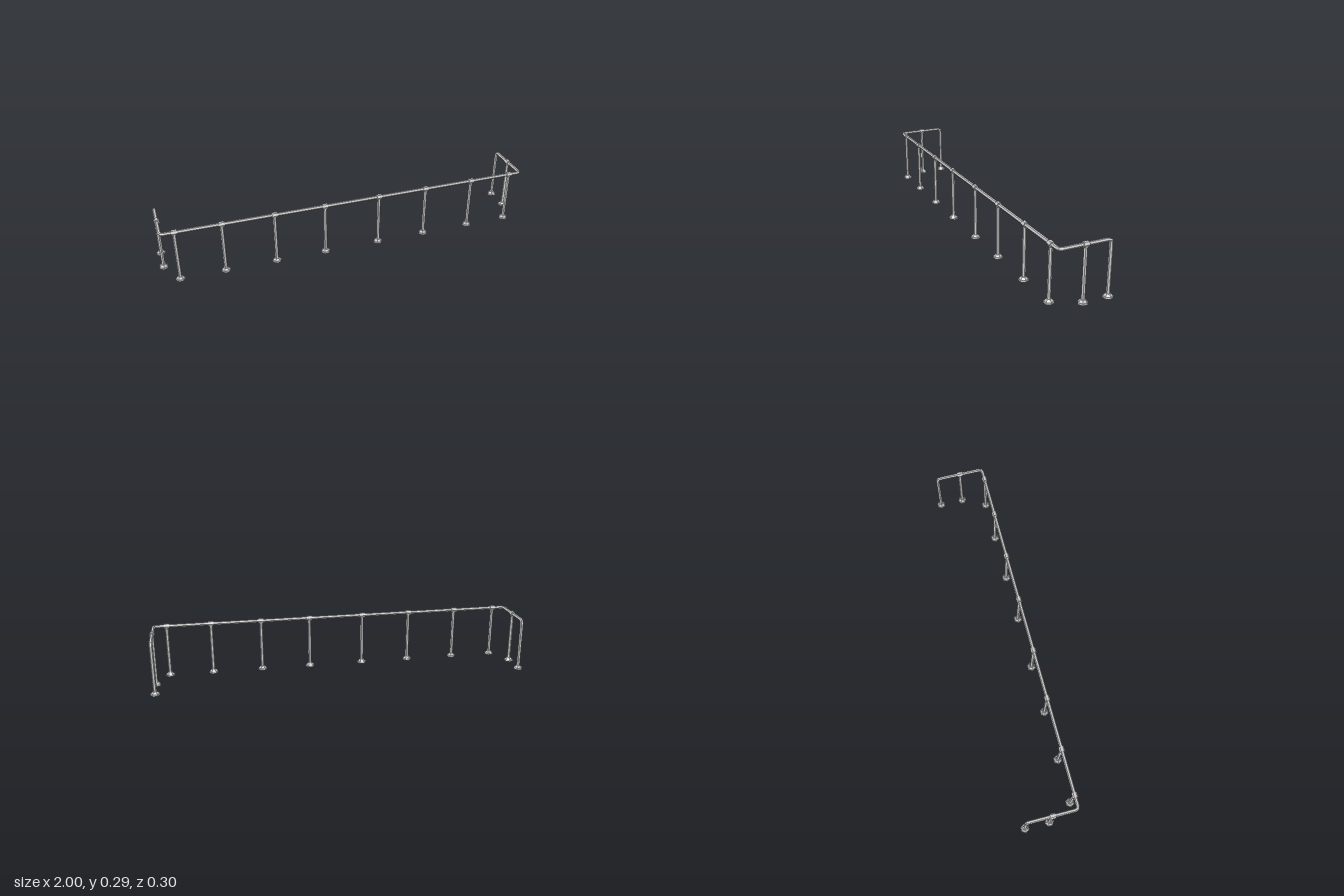
import * as THREE from 'three';

const RAIL_Y = 0.279, END_X = 0.975, Z = 0.129, R = 0.0095, BEND = 0.018;
const material = new THREE.MeshStandardMaterial({ color: 0xcccccc, flatShading: true, side: THREE.DoubleSide });

function part(name, geometry, y = 0) {
  const mesh = new THREE.Mesh(geometry, material);
  mesh.name = name;
  mesh.position.y = y;
  return mesh;
}

// Replace each inner corner of a path by a short two-segment bend
function roundCorners(corners) {
  const path = [corners[0]];
  for (let i = 1; i < corners.length - 1; i++) {
    const c = corners[i];
    const toward = p => p.clone().sub(c).setLength(BEND).add(c);
    const curve = new THREE.QuadraticBezierCurve3(toward(corners[i - 1]), c, toward(corners[i + 1]));
    path.push(...curve.getPoints(2));
  }
  path.push(corners[corners.length - 1]);
  return path;
}

// Hexagonal pipe swept along the path, with one corner always to the side
function pipeGeometry(path, radius) {
  const up = new THREE.Vector3(0, 1, 0), positions = [], index = [];
  const dir = (a, b) => b.clone().sub(a).normalize();
  path.forEach((p, i) => {
    const t = new THREE.Vector3();
    if (i > 0) t.add(dir(path[i - 1], p));
    if (i < path.length - 1) t.add(dir(p, path[i + 1]));
    t.normalize();
    const side = up.clone().cross(t);
    if (side.length() < 0.01) side.set(-Math.sign(p.x), 0, 0);
    side.normalize();
    const normal = t.clone().cross(side);
    for (let j = 0; j < 6; j++) {
      const a = j * Math.PI / 3;
      const v = p.clone().addScaledVector(side, radius * Math.cos(a)).addScaledVector(normal, radius * Math.sin(a));
      positions.push(v.x, v.y, v.z);
      if (i > 0) {
        const k = (j + 1) % 6, m = (i - 1) * 6, n = i * 6;
        index.push(m + j, m + k, n + j, m + k, n + k, n + j);
      }
    }
  });
  const g = new THREE.BufferGeometry();
  g.setAttribute('position', new THREE.Float32BufferAttribute(positions, 3));
  g.setIndex(index);
  const flat = g.toNonIndexed();
  flat.computeVertexNormals();
  return flat;
}

const hex = (top, bottom, height) => new THREE.CylinderGeometry(top, bottom, height, 6).rotateY(Math.PI / 2);

// Floor flange: a hexagonal plate with a tapered collar
function makeFlange() {
  const flange = new THREE.Group();
  flange.name = 'floorFlange';
  flange.add(part('flangePlate', hex(0.025, 0.025, 0.009), 0.0045));
  flange.add(part('flangeCollar', hex(0.013, 0.022, 0.011), 0.0145));
  return flange;
}

// Support post with its flange and the sleeve that grips the rail
function makePost() {
  const post = new THREE.Group();
  post.name = 'supportPost';
  const height = RAIL_Y - 0.015;
  post.add(makeFlange(), part('postPipe', hex(R, R, height), 0.015 + height / 2));
  post.add(part('railSleeve', new THREE.CylinderGeometry(0.0144, 0.0144, 0.028, 6).rotateZ(Math.PI / 2), RAIL_Y));
  return post;
}

export function createModel() {
  const model = new THREE.Group();
  model.name = 'guardRail';

  // One continuous pipe: up at the back, forward, across the front and back down
  const corners = [
    [-END_X, 0.01, -Z], [-END_X, RAIL_Y, -Z], [-END_X, RAIL_Y, Z],
    [END_X, RAIL_Y, Z], [END_X, RAIL_Y, -Z], [END_X, 0.01, -Z],
  ].map(c => new THREE.Vector3(...c));
  model.add(part('railPipe', pipeGeometry(roundCorners(corners), R)));

  for (const side of [-1, 1]) {
    // Front posts
    for (const x of [0.147, 0.411, 0.677, 0.907]) {
      const post = makePost();
      post.position.set(side * x, 0, Z);
      model.add(post);
    }
    // Middle post of the end rail
    const sidePost = makePost();
    sidePost.position.x = side * END_X;
    sidePost.rotation.y = Math.PI / 2;
    model.add(sidePost);

    // Flange under the bent end of the pipe
    const flange = makeFlange();
    flange.position.set(side * END_X, 0, -Z);
    model.add(flange);
  }
  return model;
}
